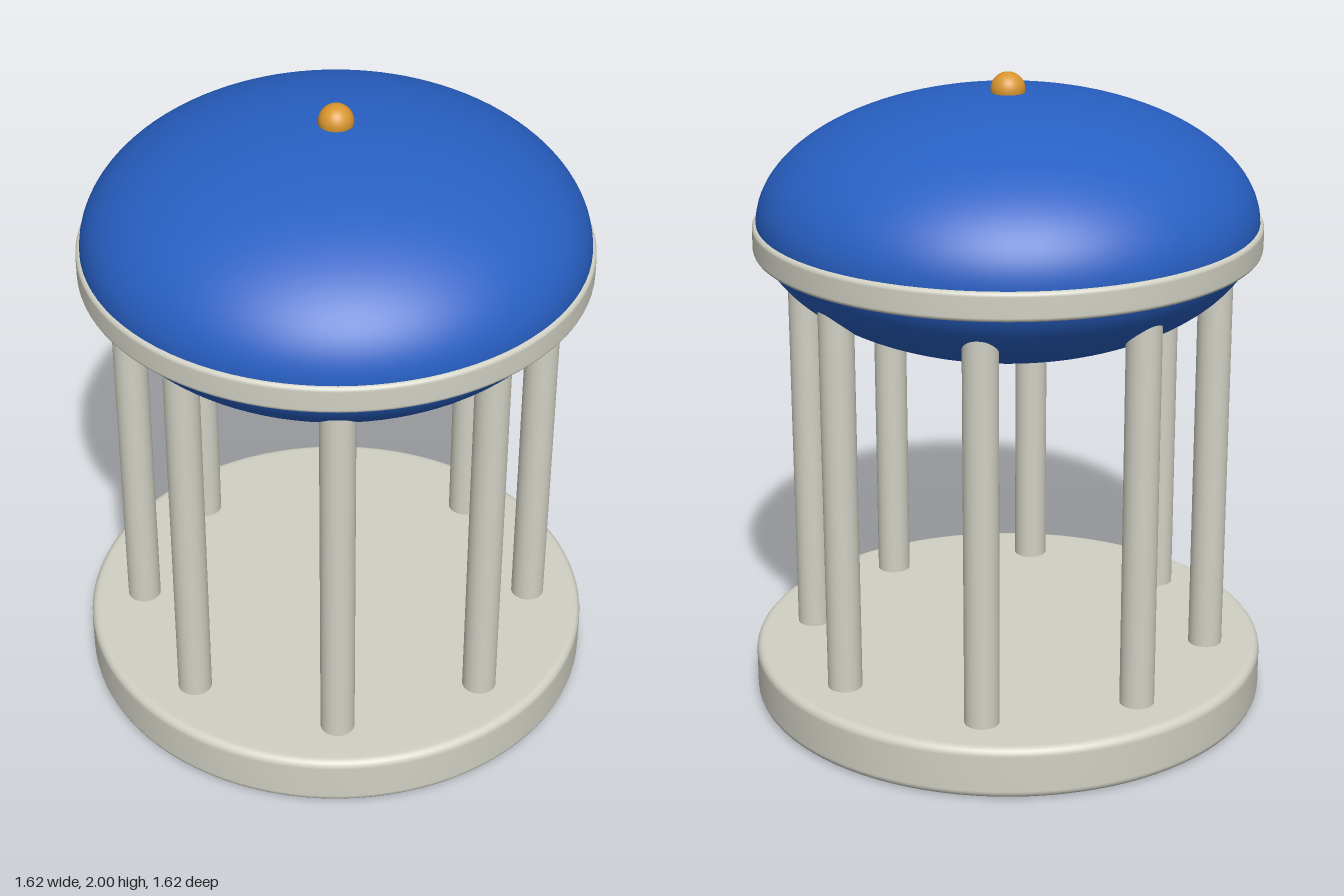
import * as THREE from 'three';

const stone = new THREE.MeshStandardMaterial({ color: 0xd0d0c4 });
stone.name = 'paleStone';
const blue = new THREE.MeshStandardMaterial({ color: 0x2860c4 });
blue.name = 'domeBlue';
const gold = new THREE.MeshStandardMaterial({ color: 0xd9962e });
gold.name = 'finialGold';

// Solid disc with rounded rims, standing from y0 to y1
function roundedDisc(radius, y0, y1, fillet) {
  const points = [new THREE.Vector2(0, y0), new THREE.Vector2(radius - fillet - 0.01, y0)];
  const steps = 6;
  for (const [cy, start] of [[y0 + fillet, -Math.PI / 2], [y1 - fillet, 0]]) {
    for (let i = 0; i <= steps; i++) {
      const a = start + (i / steps) * (Math.PI / 2);
      points.push(new THREE.Vector2(radius - fillet + fillet * Math.cos(a), cy + fillet * Math.sin(a)));
    }
  }
  points.push(new THREE.Vector2(radius - fillet - 0.01, y1), new THREE.Vector2(0, y1));
  return new THREE.LatheGeometry(points, 96);
}

export function createModel() {
  const model = new THREE.Group();
  model.name = 'rotunda';

  function add(name, geometry, material, x = 0, y = 0, z = 0) {
    const mesh = new THREE.Mesh(geometry, material);
    mesh.name = name;
    mesh.position.set(x, y, z);
    model.add(mesh);
    return mesh;
  }

  // Round floor
  add('base', roundedDisc(0.81, 0.01, 0.17, 0.025).translate(0, -0.005, 0).scale(1, 1.03, 1), stone);

  // Ring of eight columns, running up into the dome
  const bottom = 0.15, top = 1.45;
  const columnGeometry = new THREE.CylinderGeometry(0.053, 0.053, top - bottom, 32);
  for (let i = 0; i < 8; i++) {
    const a = (i * Math.PI) / 4;
    add(`column${i + 1}`, columnGeometry, stone, 0.637 * Math.sin(a), (top + bottom) / 2, 0.637 * Math.cos(a));
  }

  // Band around the dome
  add('domeBand', roundedDisc(0.777, 1.465, 1.553, 0.014), stone);

  // Flattened full dome
  const dome = add('dome', new THREE.SphereGeometry(1, 96, 64), blue, 0, 1.55, 0);
  dome.scale.set(0.765, 0.39, 0.765);

  // Small ball on top
  add('finial', new THREE.SphereGeometry(0.053, 32, 24), gold, 0, 1.947, 0);

  // Rest the floor exactly on the ground
  model.children[0].position.y = -new THREE.Box3().setFromObject(model.children[0]).min.y;
  return model;
}
